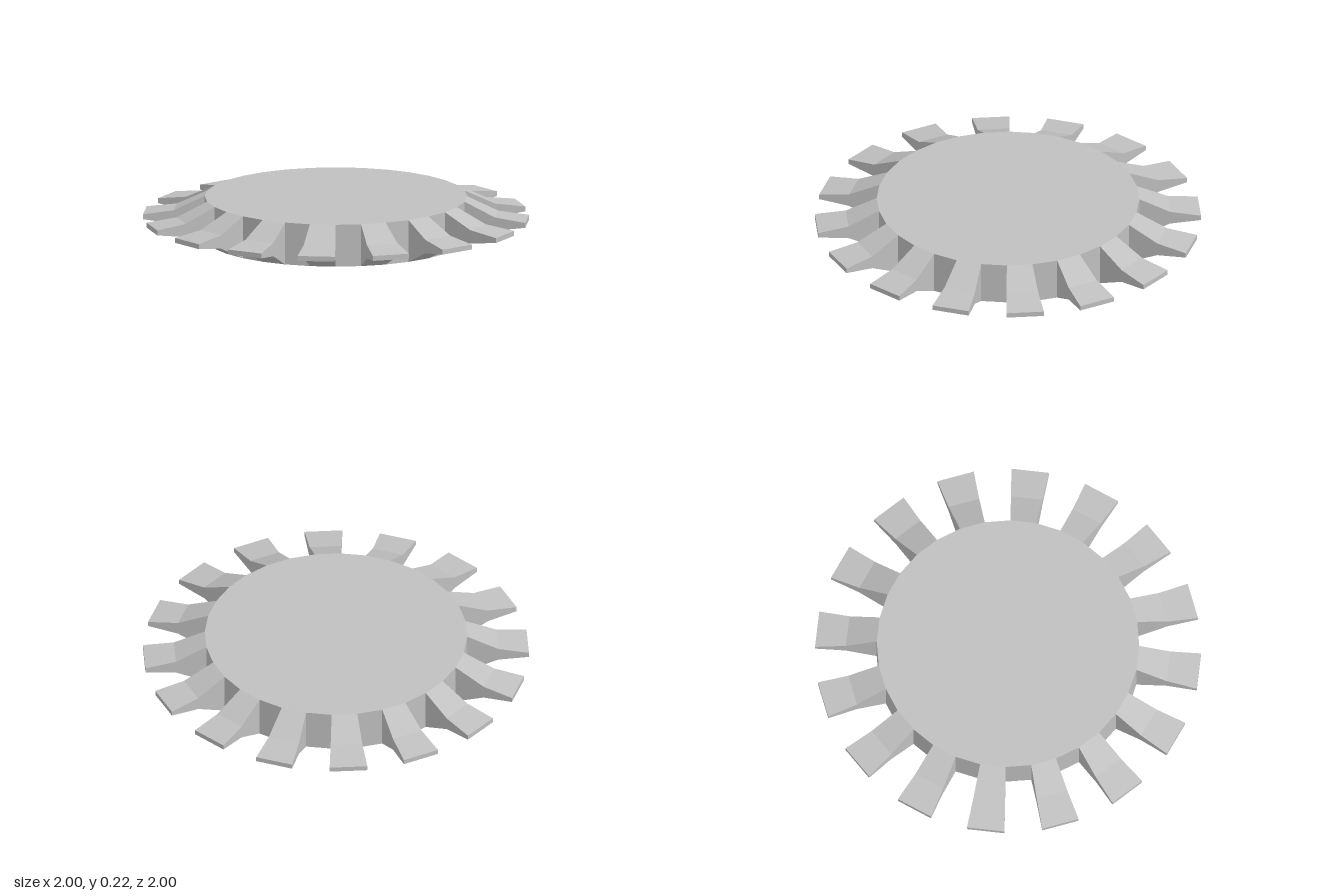
import * as THREE from 'three';

const TEETH = 16;
const STEP = Math.PI / TEETH; // a tooth and a gap each span one step
const HUB_R = 0.68;
const HEIGHT = 0.222;

// Tooth: radial profile swept between two radial planes
function toothGeometry() {
  const profile = [
    [HUB_R, 0], [0.84, 0.076], [1, 0.098],
    [1, 0.124], [0.84, 0.146], [HUB_R, HEIGHT],
  ].map(([r, y]) => new THREE.Vector2(r, y));
  const geo = new THREE.ExtrudeGeometry(new THREE.Shape(profile), {
    depth: 1, steps: 1, bevelEnabled: false,
  });
  const pos = geo.attributes.position;
  for (let i = 0; i < pos.count; i++) {
    const r = pos.getX(i);
    const angle = (1 - pos.getZ(i)) * STEP;
    pos.setXYZ(i, r * Math.cos(angle), pos.getY(i), -r * Math.sin(angle));
  }
  geo.computeVertexNormals();
  return geo;
}

export function createModel() {
  const model = new THREE.Group();
  model.name = 'gearWheel';

  const metal = new THREE.MeshStandardMaterial({ color: 0xc0c0c0 });
  metal.name = 'lightGrey';

  // Faceted central disc
  const hubGeo = new THREE.CylinderGeometry(HUB_R, HUB_R, HEIGHT, TEETH * 2).toNonIndexed();
  hubGeo.computeVertexNormals();
  const hub = new THREE.Mesh(hubGeo, metal);
  hub.name = 'hub';
  hub.position.y = HEIGHT / 2;
  model.add(hub);

  // Ring of tapered teeth
  const teeth = new THREE.Group();
  teeth.name = 'teeth';
  const geo = toothGeometry();
  for (let i = 0; i < TEETH; i++) {
    const tooth = new THREE.Mesh(geo, metal);
    tooth.name = `tooth${i + 1}`;
    tooth.rotation.y = i * STEP * 2;
    teeth.add(tooth);
  }
  model.add(teeth);

  return model;
}
